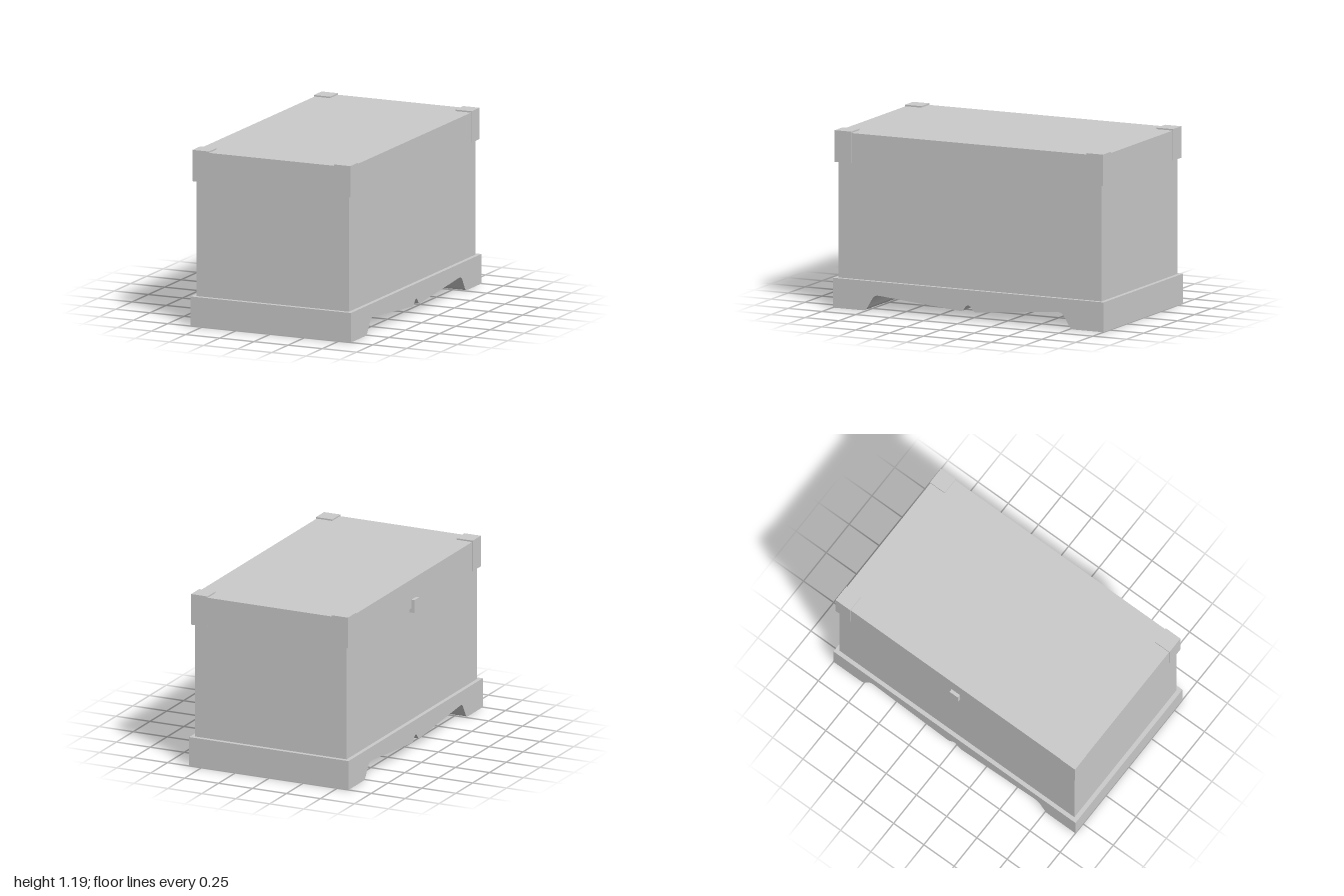
import * as THREE from 'three';
import { toCreasedNormals } from 'three/addons/utils/BufferGeometryUtils.js';

const CX = 0.0035; // chest centre in x; the latch takes up the rest

export function createModel() {
  const chest = new THREE.Group();
  chest.name = 'chest';
  const material = new THREE.MeshStandardMaterial({ color: 0xcccccc });

  const add = (name, geometry, x, y, z) => {
    const mesh = new THREE.Mesh(geometry, material);
    mesh.name = name;
    mesh.position.set(x, y, z);
    chest.add(mesh);
  };
  const box = (name, w, y0, y1, d, x = CX, z = 0) =>
    add(name, new THREE.BoxGeometry(w, y1 - y0, d), x, (y0 + y1) / 2, z);

  // Plinth: scalloped side profile run through the full width
  const width = 1.173;
  const profile = new THREE.Shape();
  profile.moveTo(-1, 0.2);
  profile.lineTo(-1, 0);
  profile.lineTo(-0.775, 0);
  profile.quadraticCurveTo(-0.755, 0.003, -0.742, 0.025);
  profile.lineTo(-0.705, 0.088);
  profile.quadraticCurveTo(-0.69, 0.109, -0.66, 0.107);
  profile.lineTo(-0.06, 0.055);
  profile.quadraticCurveTo(-0.042, 0.054, -0.03, 0.072);
  profile.quadraticCurveTo(-0.015, 0.096, 0, 0.097);
  profile.quadraticCurveTo(0.015, 0.096, 0.03, 0.072);
  profile.quadraticCurveTo(0.042, 0.054, 0.06, 0.055);
  profile.lineTo(0.66, 0.107);
  profile.quadraticCurveTo(0.69, 0.109, 0.705, 0.088);
  profile.lineTo(0.742, 0.025);
  profile.quadraticCurveTo(0.755, 0.003, 0.775, 0);
  profile.lineTo(1, 0);
  profile.lineTo(1, 0.2);
  profile.closePath();
  const plinth = new THREE.ExtrudeGeometry(profile, { depth: width, bevelEnabled: false, curveSegments: 6 });
  plinth.translate(0, 0, -width / 2).rotateY(Math.PI / 2);
  add('plinth', toCreasedNormals(plinth, 0.6), CX, 0, 0);

  // Body and lid
  box('body', 1.117, 0.2, 0.98, 1.942);
  box('lid', 1.145, 0.98, 1.18, 1.972);

  // Corner caps wrapping the lid
  for (const sx of [-1, 1])
    for (const sz of [-1, 1])
      box('lidCorner', 0.12, 0.978, 1.19, 0.121, CX + sx * 0.5175, sz * 0.9295);

  // Latch in the middle of one long side
  box('latch', 0.04, 0.95, 1.04, 0.068, -0.572, 0);

  return chest;
}
